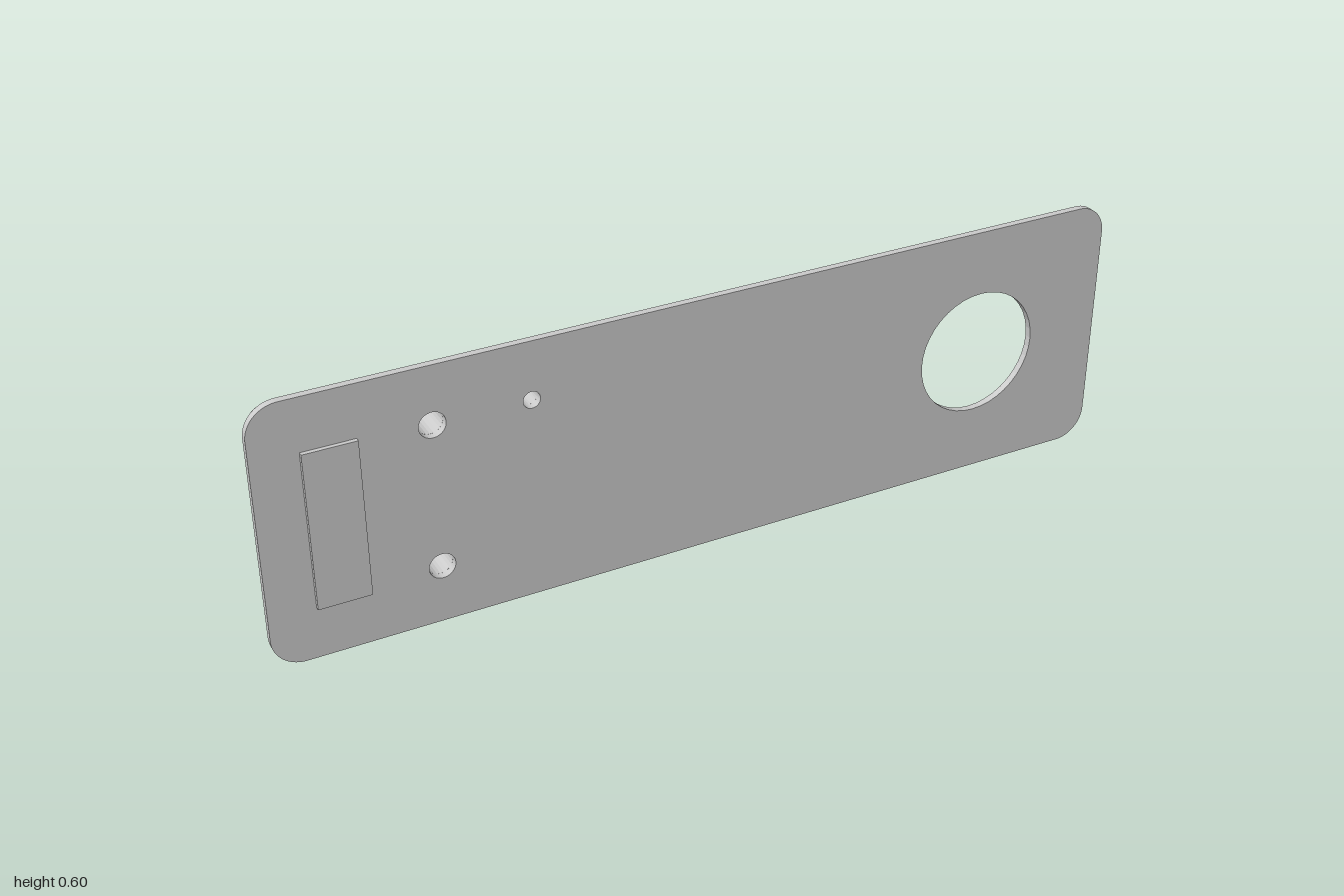
import * as THREE from 'three';

const BACK = 0.098; // rear face of the plate; fittings project from here towards -z
const FRONT = 0.115;

export function createModel() {
  const model = new THREE.Group();
  const flat = new THREE.MeshStandardMaterial({ color: 0xcccccc, flatShading: true });

  const add = (parent, name, geometry, x, y, z) => {
    const mesh = new THREE.Mesh(geometry, flat);
    mesh.name = name;
    mesh.position.set(x, y, z);
    parent.add(mesh);
    return mesh;
  };
  const group = (name) => {
    const g = new THREE.Group();
    g.name = name;
    model.add(g);
    return g;
  };
  const circle = (x, y, r) => new THREE.Path().absarc(x, y, r, 0, Math.PI * 2, true);
  const polygon = (n, r, start) => new THREE.Shape(Array.from({ length: n }, (_, i) => {
    const a = start + (i / n) * Math.PI * 2;
    return new THREE.Vector2(r * Math.cos(a), r * Math.sin(a));
  }));
  const extrude = (shape, depth, curveSegments = 12) =>
    new THREE.ExtrudeGeometry(shape, { depth, curveSegments, bevelEnabled: false });
  // Profile of [radius, distance behind the plate], turned about the z axis
  const turned = (points, segments = 24) =>
    new THREE.LatheGeometry(points.map(([r, d]) => new THREE.Vector2(r, d)), segments)
      .rotateX(-Math.PI / 2);

  // Rounded plate with its openings
  const R = 0.07;
  const plate = new THREE.Shape();
  plate.absarc(1 - R, R, R, -Math.PI / 2, 0);
  plate.absarc(1 - R, 0.6 - R, R, 0, Math.PI / 2);
  plate.absarc(-1 + R, 0.6 - R, R, Math.PI / 2, Math.PI);
  plate.absarc(-1 + R, R, R, Math.PI, Math.PI * 1.5);
  const jacks = [
    { name: 'upperJack', x: -0.63, y: 0.467, nut: 0.089, body: 0.063, tip: 0.044, bore: 0.029 },
    { name: 'lowerJack', x: -0.63, y: 0.134, nut: 0.089, body: 0.063, tip: 0.044, bore: 0.029 },
    { name: 'smallJack', x: -0.417, y: 0.467, nut: 0.072, body: 0.047, tip: 0.033, bore: 0.019 },
  ];
  plate.holes.push(circle(0.675, 0.3, 0.148));
  jacks.forEach((j) => plate.holes.push(circle(j.x, j.y, j.bore)));
  add(model, 'plate', extrude(plate, FRONT - BACK, 20), 0, 0, BACK);

  // Hollow jacks, each with a hex nut
  for (const j of jacks) {
    const g = group(j.name);
    const nut = polygon(6, j.nut, THREE.MathUtils.degToRad(45));
    nut.holes.push(circle(0, 0, j.bore));
    add(g, 'hexNut', extrude(nut, 0.046), j.x, j.y, BACK - 0.046);
    add(g, 'barrel', turned([
      [j.body, 0.04], [j.body, 0.09], [j.tip, 0.09], [j.tip, 0.113],
      [j.bore, 0.113], [j.bore, 0],
    ]), j.x, j.y, BACK);
  }

  // Large domed knob
  const knob = group('largeKnob');
  add(knob, 'collar', turned([
    [0.131, 0], [0.131, 0.055], [0.129, 0.055], [0.129, 0.119], [0, 0.119],
  ]), -0.3, 0.19, BACK);
  add(knob, 'cap', turned([
    [0.11, 0.119], [0.11, 0.185], [0.108, 0.196], [0.102, 0.204], [0.092, 0.208],
    [0.06, 0.215], [0.03, 0.219], [0, 0.22],
  ]), -0.3, 0.19, BACK);

  // Small push button
  add(model, 'pushButton', turned([
    [0.063, 0], [0.063, 0.055], [0.057, 0.055], [0.057, 0.092], [0, 0.092],
  ]), -0.205, 0.467, BACK);

  // Multi-pin connector: front flange, tapered rear shell, two hex posts
  const connector = group('connector');
  add(connector, 'flange', new THREE.BoxGeometry(0.115, 0.36, 0.01), -0.842, 0.3, FRONT + 0.005);
  const shell = new THREE.Shape([
    [0.035, -0.105], [0.035, 0.105], [0.022, 0.12], [-0.024, 0.13],
    [-0.035, 0.12], [-0.035, -0.12], [-0.024, -0.13], [0.022, -0.12],
  ].map(([x, y]) => new THREE.Vector2(x, y)));
  add(connector, 'shell', extrude(shell, 0.036), -0.838, 0.3, BACK - 0.036);
  for (const side of [-1, 1]) {
    const post = polygon(6, 0.02, 0);
    post.holes.push(circle(0, 0, 0.009));
    add(connector, 'hexPost', extrude(post, 0.03), -0.838, 0.3 + side * 0.157, BACK - 0.03);
  }

  // Domed corner screws with hex sockets
  const dome = turned([
    [0.044, 0], [0.044, 0.007], [0.041, 0.014], [0.035, 0.021], [0.027, 0.025], [0.019, 0.026],
  ]);
  const socket = turned([[0.019, 0.026], [0.019, 0.01], [0, 0.01]], 6);
  const rim = new THREE.Shape().absarc(0, 0, 0.0195, 0, Math.PI * 2);
  rim.holes.push(polygon(6, 0.019, Math.PI / 2));
  const rimGeometry = new THREE.ShapeGeometry(rim).rotateY(Math.PI);
  for (const x of [-0.945, 0.945]) {
    for (const y of [0.055, 0.545]) {
      const screw = group('cornerScrew');
      add(screw, 'screwHead', dome, x, y, BACK);
      add(screw, 'hexSocket', socket, x, y, BACK);
      add(screw, 'socketRim', rimGeometry, x, y, BACK - 0.026);
    }
  }
  return model;
}
